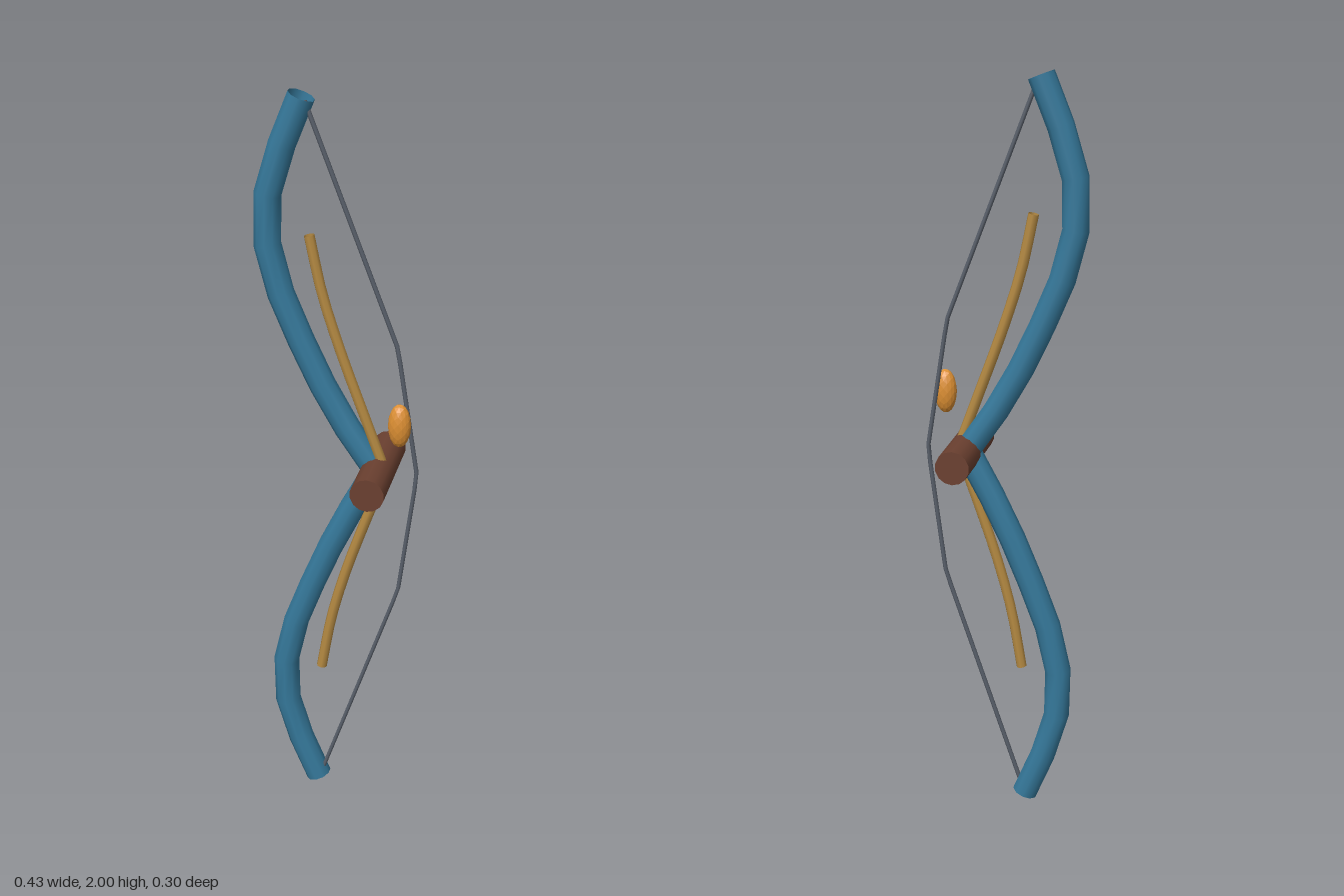
import * as THREE from 'three';

const mat = (color, flatShading = false) =>
  new THREE.MeshStandardMaterial({ color, flatShading, side: THREE.DoubleSide });

const blue = mat(0x35789a), gold = mat(0xb58a42), brown = mat(0x6b4030);
const grey = mat(0x59606b), orange = mat(0xdc8f33, true);

export function createModel() {
  const bow = new THREE.Group();
  bow.name = 'bow';

  const add = (name, geometry, material) => {
    const mesh = new THREE.Mesh(geometry, material);
    mesh.name = name;
    bow.add(mesh);
    return mesh;
  };

  // Open tube through [x, y] points lying in the plane at depth z
  const tube = (name, points, z, segments, radius, sides, material) => {
    const curve = new THREE.CatmullRomCurve3(points.map(([x, y]) => new THREE.Vector3(x, y, z)));
    return add(name, new THREE.TubeGeometry(curve, segments, radius, sides), material);
  };

  // Recurved limbs, tip to grip
  tube('upperLimb', [[-0.09, 1.986], [-0.168, 1.78], [-0.185, 1.655], [-0.16, 1.515],
    [-0.09, 1.34], [0, 1.16], [0.1, 1.01]], 0, 8, 0.035, 10, blue);
  tube('lowerLimb', [[-0.056, 0.014], [-0.132, 0.21], [-0.15, 0.335], [-0.13, 0.475],
    [-0.068, 0.65], [0.01, 0.83], [0.1, 1.0]], 0, 8, 0.035, 10, blue);

  // Thin inner strips
  tube('upperStrip', [[-0.07, 1.64], [-0.038, 1.49], [0.012, 1.33], [0.07, 1.17], [0.125, 1.02]],
    0.012, 10, 0.014, 8, gold);
  tube('lowerStrip', [[-0.043, 0.39], [-0.015, 0.55], [0.025, 0.7], [0.075, 0.85], [0.125, 0.99]],
    0.012, 10, 0.014, 8, gold);

  // Bowstring in straight runs
  const string = new THREE.CurvePath();
  const stops = [[-0.08, 1.975], [0.157, 1.355], [0.212, 1.005], [0.167, 0.655], [-0.042, 0.04]]
    .map(([x, y]) => new THREE.Vector3(x, y, 0.008));
  for (let i = 0; i < 4; i++) string.add(new THREE.LineCurve3(stops[i], stops[i + 1]));
  add('bowstring', new THREE.TubeGeometry(string, 40, 0.006, 6), grey);

  // Grip running front to back
  const grip = add('grip', new THREE.CylinderGeometry(0.045, 0.045, 0.3, 14), brown);
  grip.rotation.x = Math.PI / 2;
  grip.position.set(0.108, 1.004, 0);

  // Faceted bead beside the string
  const bead = add('bead', new THREE.IcosahedronGeometry(1, 2), orange);
  bead.scale.set(0.03, 0.06, 0.025);
  bead.position.set(0.169, 1.155, 0.035);

  return bow;
}
